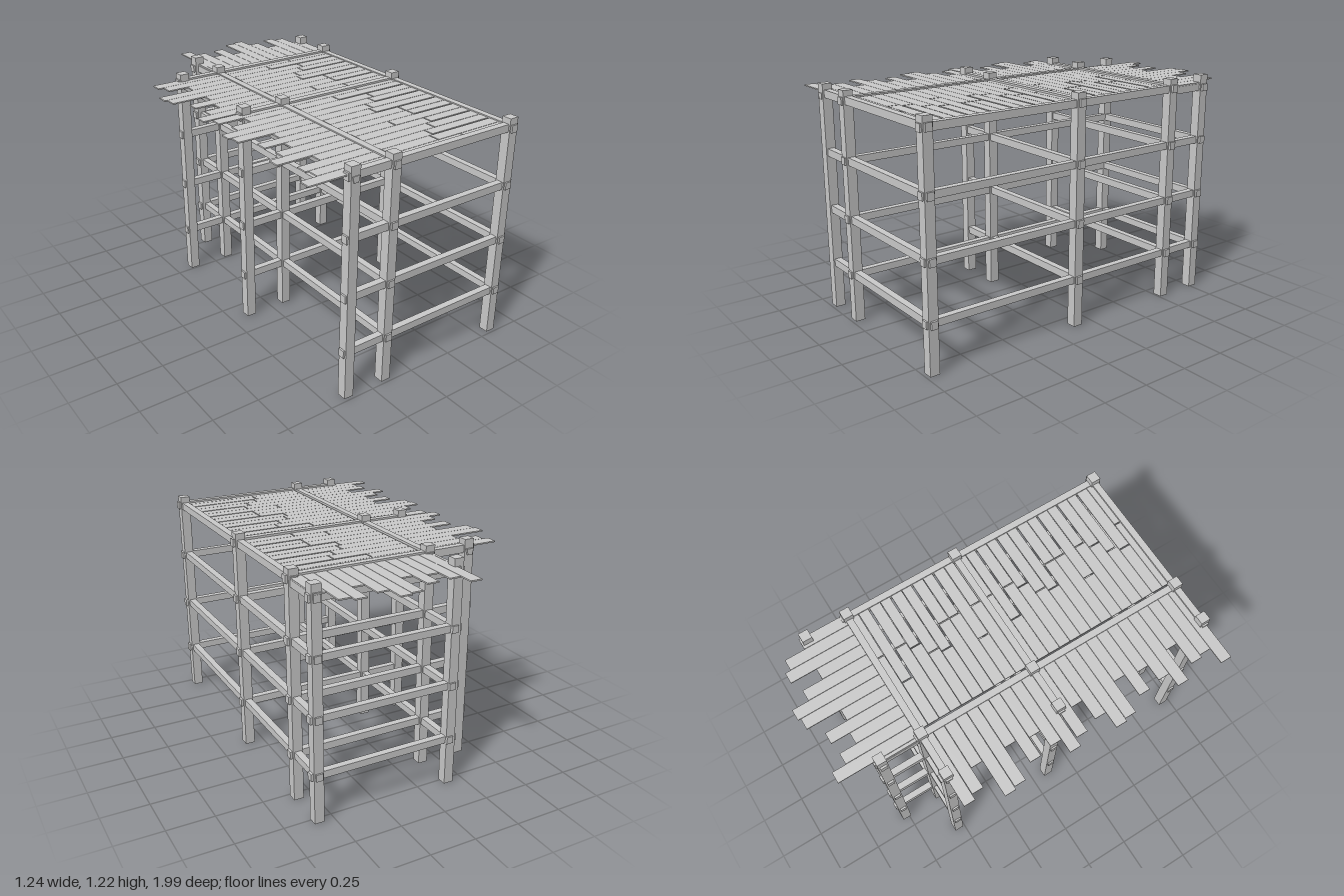
import * as THREE from 'three';

const material = new THREE.MeshStandardMaterial({ color: 0xcccccc, flatShading: true });

// Box given by its min and max on each axis
function bar(parent, name, [x0, x1], [y0, y1], [z0, z1]) {
  const mesh = new THREE.Mesh(new THREE.BoxGeometry(x1 - x0, y1 - y0, z1 - z0), material);
  mesh.position.set((x0 + x1) / 2, (y0 + y1) / 2, (z0 + z1) / 2);
  mesh.name = name;
  parent.add(mesh);
}

function section(root, name) {
  const group = new THREE.Group();
  group.name = name;
  root.add(group);
  return group;
}

const around = (c, half) => [c - half, c + half];

export function createModel() {
  const root = new THREE.Group();
  root.name = 'scaffoldPlatform';
  const LEFT = -0.385, MID = -0.155, RIGHT = 0.58;
  const rowsZ = [0.957, 0.097, -0.535];
  const BACK = -0.765;
  const levels = [0.255, 0.555, 0.86];
  const TOP = 1.165;

  // Upright posts
  const posts = section(root, 'posts');
  const spots = rowsZ.flatMap(z => [LEFT, MID, RIGHT].map(x => [x, z]));
  spots.push([MID - 0.008, BACK], [RIGHT, BACK]);
  for (const [x, z] of spots) bar(posts, 'post', around(x, 0.026), [0, 1.215], around(z, 0.026));

  // Cross beams running side to side
  const cross = section(root, 'crossBeams');
  for (const z of rowsZ)
    for (const y of [...levels, TOP]) bar(cross, 'crossBeam', [-0.42, 0.618], around(y, 0.02), around(z, 0.018));
  for (const y of [...levels, 1.148]) bar(cross, 'backCrossBeam', [-0.2, 0.618], around(y, 0.019), around(BACK, 0.018));

  // Long beams running front to back
  const long = section(root, 'longBeams');
  for (const x of [MID, RIGHT]) {
    for (const y of levels) bar(long, 'longBeam', around(x, 0.018), around(y, 0.019), [-0.8, 0.992]);
    bar(long, 'topBeam', around(x, 0.018), [1.142, 1.181], [-0.57, 0.992]);
    bar(long, 'backTopBeam', around(x, 0.018), [1.13, 1.167], [-0.8, -0.53]);
  }

  // Tapered beam carrying the overhanging boards
  const taper = new THREE.Shape([[-0.02, 0.167], [-0.013, 0.135], [0.013, 0.135], [0.02, 0.167]]
    .map(([x, y]) => new THREE.Vector2(x, y)));
  const ledger = new THREE.Mesh(
    new THREE.ExtrudeGeometry(taper, { depth: 1.56, bevelEnabled: false }), material);
  ledger.position.set(LEFT, 1, -0.573);
  ledger.name = 'ledgerBeam';
  long.add(ledger);

  const boardY = [1.168, 1.175];
  const bays = [[-0.543, 0.082, 10], [0.088, 0.967, 14]];

  // Main deck: two boards per row, with staggered joints
  const deck = section(root, 'deckBoards');
  const joints = [0.3, 0.125, 0.3, 0.26, 0.19, 0.165, 0.3];
  for (const [z0, z1, count] of bays) {
    const pitch = (z1 - z0) / count;
    for (let i = 0; i < count; i++) {
      const a = z0 + i * pitch, b = a + pitch;
      const joint = joints[i % joints.length];
      const gap = i % 2 ? 0.008 : 0.002;
      bar(deck, 'deckBoard', [-0.127, joint - 0.003], boardY, [a + 0.001, b - 0.001]);
      bar(deck, 'deckBoard', [joint + 0.003, 0.565], boardY, [a + 0.001, b - gap]);
    }
  }

  // Side boards with ragged ends overhanging the left-hand beam
  const side = section(root, 'sideBoards');
  const ends = [
    [-0.56, -0.53, -0.42, -0.62, -0.605, -0.42, -0.545, -0.44, -0.53, -0.605],
    [-0.56, -0.42, -0.53, -0.62, -0.605, -0.42, -0.545, -0.44, -0.53, -0.605, -0.42, -0.545, -0.53, -0.62]];
  bays.forEach(([z0, z1, count], k) => {
    const pitch = (z1 - z0) / count;
    for (let i = 0; i < count; i++) {
      const a = z0 + i * pitch;
      bar(side, 'sideBoard', [ends[k][i], -0.165], boardY, [a + 0.001, a + pitch - 0.001]);
    }
  });

  // Back boards with ragged ends
  const back = section(root, 'backBoards');
  const tips = [-0.8, -0.985, -0.91, -0.82, -0.92, -0.8, -0.985, -1, -0.91, -0.8, -0.94, -0.91, -0.8];
  const x0 = -0.152, pitch = 0.0626;
  tips.forEach((tip, i) => {
    const a = i === 0 ? -0.17 : x0 + (i - 1) * pitch;
    const b = x0 + i * pitch;
    bar(back, 'backBoard', [a + 0.001, b - 0.001], boardY, [tip, -0.53]);
  });

  return root;
}
